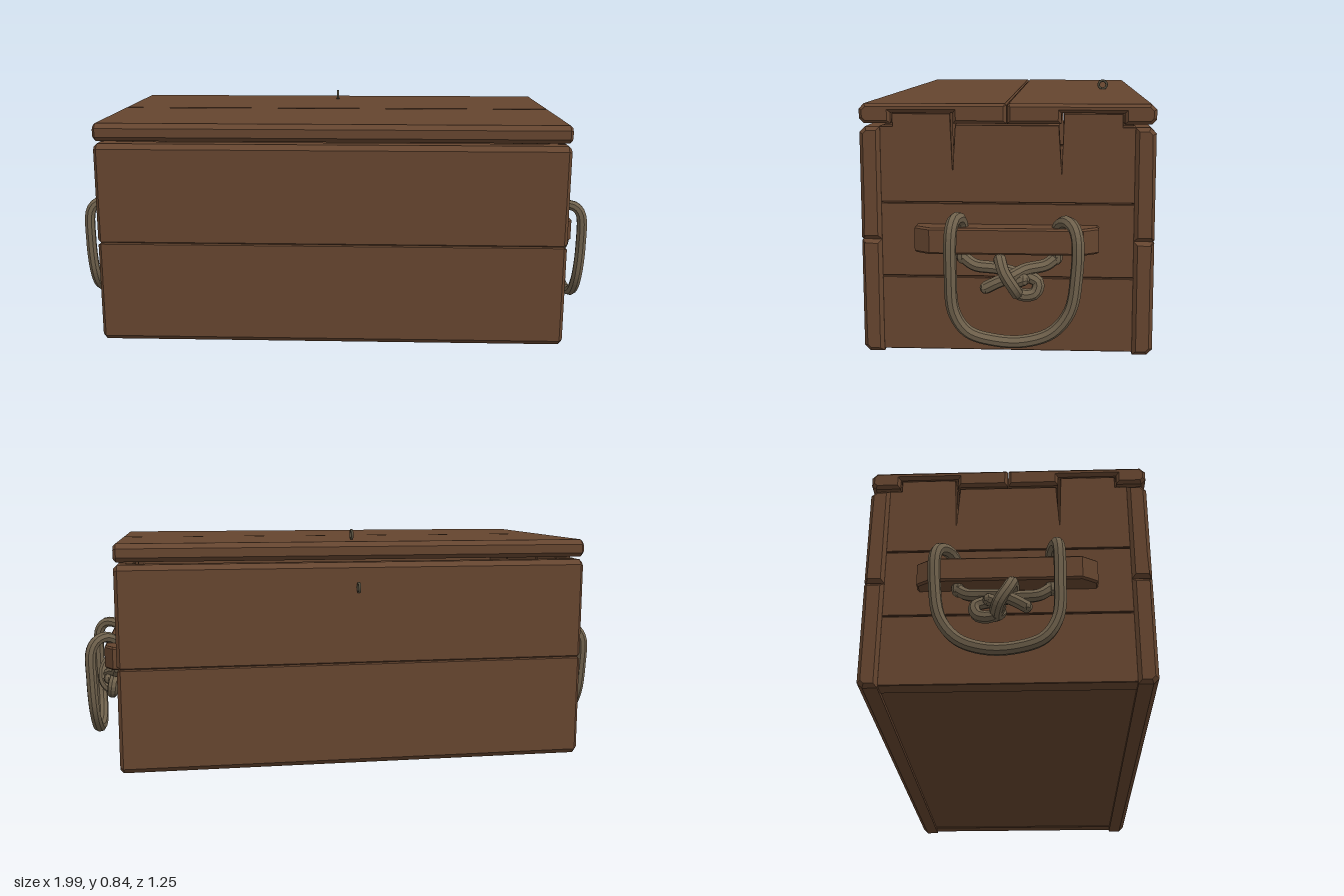
import * as THREE from 'three';

const wood = new THREE.MeshStandardMaterial({ color: 0x65452f, flatShading: true });
wood.name = 'brown wood';
const ropeMat = new THREE.MeshStandardMaterial({ color: 0x6f614c, flatShading: true });
ropeMat.name = 'hemp rope';
const metal = new THREE.MeshStandardMaterial({ color: 0x57503f });
metal.name = 'aged metal';

// Extrudes an outline of [z, y] points along x, centred on x = 0
function board(points, length, bevel = 0) {
  const shape = new THREE.Shape(points.map(([z, y]) => new THREE.Vector2(z, y)));
  const geo = new THREE.ExtrudeGeometry(shape, {
    depth: length - 2 * bevel,
    bevelEnabled: bevel > 0,
    bevelThickness: bevel, bevelSize: bevel, bevelOffset: -bevel, bevelSegments: 1,
  });
  geo.translate(0, 0, -(length - 2 * bevel) / 2);
  return geo.rotateY(-Math.PI / 2);
}

export function createModel() {
  const root = new THREE.Group();
  root.name = 'ropeHandledChest';
  const chest = new THREE.Group();
  chest.name = 'chest';
  chest.rotation.y = 0.204;
  root.add(chest);

  const add = (name, geo, mat, parent = chest) => {
    const mesh = new THREE.Mesh(geo, mat);
    mesh.name = name;
    parent.add(mesh);
    return mesh;
  };
  const flip = (points, s) => points.map(([z, y]) => [z * s, y]);

  // Long side planks, chamfered on the outside, and the two lid planks
  const lowerPlank = [[0.4, 0], [0.447, 0], [0.465, 0.018], [0.465, 0.367], [0.461, 0.371], [0.4, 0.371]];
  const upperPlank = [[0.4, 0.372], [0.461, 0.372], [0.465, 0.376], [0.465, 0.714], [0.447, 0.732], [0.4, 0.732]];
  const lidPlank = [
    [0.001, 0.742], [0.17, 0.742], [0.17, 0.776], [0.366, 0.776], [0.366, 0.742],
    [0.45, 0.742], [0.465, 0.757], [0.465, 0.788], [0.448, 0.805], [0.006, 0.805], [0.001, 0.8],
  ];
  for (const s of [1, -1]) {
    const side = s > 0 ? 'front' : 'back';
    add(side + 'LowerPlank', board(flip(lowerPlank, s), 1.685, 0.012), wood);
    add(side + 'UpperPlank', board(flip(upperPlank, s), 1.685, 0.012), wood);
    add(side + 'LidPlank', board(flip(lidPlank, s), 1.685, 0.01), wood);
  }

  // Floor
  const floor = add('floor', new THREE.BoxGeometry(1.58, 0.04, 0.82), wood);
  floor.position.y = 0.032;

  // End planks; the top one has two tenons and tapering cracks
  const rect = (y0, y1) => [[-0.402, y0], [0.402, y0], [0.402, y1], [-0.402, y1]];
  const tenonHalf = [[0.402, 0.492], [0.402, 0.733], [0.362, 0.733], [0.362, 0.774],
    [0.178, 0.774], [0.172, 0.585], [0.163, 0.738]];
  const tenonBoard = [...tenonHalf, ...flip(tenonHalf, -1).reverse()];
  for (const s of [1, -1]) {
    const end = new THREE.Group();
    end.name = s > 0 ? 'leftEnd' : 'rightEnd';
    chest.add(end);
    [rect(0.008, 0.249), rect(0.252, 0.489), tenonBoard].forEach((pts, i) => {
      const plank = add(['lowerEndPlank', 'middleEndPlank', 'upperEndPlank'][i], board(pts, 0.06, 0.002), wood, end);
      plank.position.x = s * 0.801;
    });
    addHandle(end, s, add);
  }

  // Ring eyes on the lid and on the back
  const eye = (name, y, z, back) => {
    const g = new THREE.Group();
    g.name = name;
    const ring = add('ring', new THREE.TorusGeometry(0.016, 0.005, 6, 14), metal, g);
    ring.rotation.y = Math.PI / 2;
    ring.position.y = 0.02;
    add('stem', new THREE.CylinderGeometry(0.006, 0.006, 0.014, 8), metal, g);
    g.position.set(0, y, z);
    if (back) g.rotation.x = -Math.PI / 2;
    chest.add(g);
  };
  eye('lidEye', 0.803, -0.327, false);
  eye('backEye', 0.645, -0.463, true);
  return root;
}

// Wooden cleat with a knotted rope loop; s picks the end of the chest
function addHandle(end, s, add) {
  const outline = [[0.81, -0.29], [0.868, -0.29], [0.9, -0.24], [0.9, 0.24], [0.868, 0.29], [0.81, 0.29]];
  const shape = new THREE.Shape(outline.map(([x, z]) => new THREE.Vector2(x * s, z)));
  const geo = new THREE.ExtrudeGeometry(shape, {
    depth: 0.072, bevelThickness: 0.006, bevelSize: 0.006, bevelOffset: -0.006, bevelSegments: 1,
  });
  const cleat = add('cleat', geo.rotateX(Math.PI / 2), wood, end);
  cleat.position.y = 0.416;

  const rope = (name, pts, segments) => {
    const path = pts.map(([x, y, z]) => new THREE.Vector3(x * s, y, z));
    const curve = new THREE.CatmullRomCurve3(path, false, 'centripetal');
    add(name, new THREE.TubeGeometry(curve, segments, 0.02, 8), ropeMat, end);
    for (const p of [path[0], path[path.length - 1]]) {
      const tip = add('ropeTip', new THREE.SphereGeometry(0.0195, 8, 6), ropeMat, end);
      tip.position.copy(p);
    }
  };
  // Loop: through both holes of the cleat and hanging in front
  rope('handleLoop', [
    [0.86, 0.32, 0.14], [0.86, 0.42, 0.14], [0.885, 0.45, 0.145], [0.925, 0.452, 0.158],
    [0.95, 0.425, 0.165], [0.957, 0.3, 0.167], [0.95, 0.17, 0.158], [0.945, 0.105, 0.115],
    [0.94, 0.077, 0.03], [0.94, 0.075, -0.06], [0.943, 0.105, -0.145], [0.948, 0.175, -0.2],
    [0.952, 0.29, -0.22], [0.95, 0.4, -0.222], [0.93, 0.435, -0.21], [0.895, 0.445, -0.185],
    [0.865, 0.42, -0.162], [0.86, 0.32, -0.157],
  ], 90);
  // Knot under the cleat
  rope('knotLoop', [
    [0.86, 0.325, 0.14], [0.865, 0.298, 0.1], [0.87, 0.29, 0.03], [0.875, 0.275, -0.03],
    [0.885, 0.25, -0.1], [0.89, 0.215, -0.09], [0.892, 0.212, -0.045], [0.9, 0.245, -0.02],
    [0.905, 0.262, -0.055],
  ], 40);
  rope('knotTail', [
    [0.86, 0.325, -0.157], [0.868, 0.302, -0.125], [0.885, 0.29, -0.06], [0.91, 0.272, -0.015],
    [0.91, 0.255, 0.025], [0.905, 0.235, 0.062],
  ], 26);
  rope('knotWrap', [
    [0.86, 0.3, 0.02], [0.9, 0.325, 0.018], [0.925, 0.29, 0.005], [0.922, 0.24, -0.025],
    [0.89, 0.215, -0.035], [0.86, 0.24, -0.02],
  ], 24);
}
